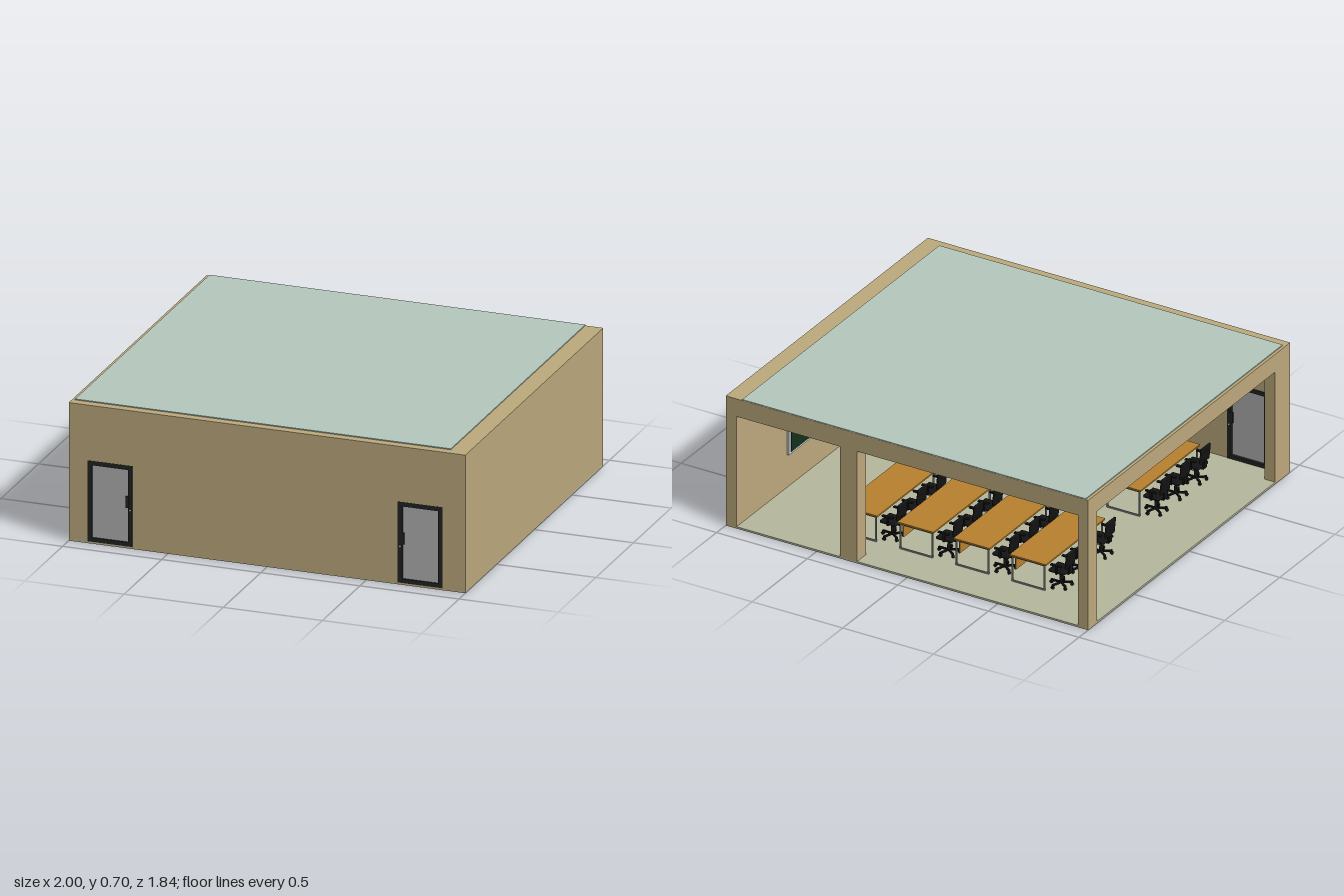
import * as THREE from 'three';
import { RoundedBoxGeometry } from 'three/addons/geometries/RoundedBoxGeometry.js';

const mat = (color) => new THREE.MeshStandardMaterial({ color });
const M = {
  wall: mat(0xbeaa7d), roof: mat(0xb6c9be), floor: mat(0xb6b99e), wood: mat(0xb8812f),
  steel: mat(0x8c9090), black: mat(0x141414), frame: mat(0x222424), panel: mat(0xb2b2b2),
  board: mat(0x12301c), white: mat(0xcfd4d2),
};

function add(parent, name, geometry, material) {
  const mesh = new THREE.Mesh(geometry, material);
  mesh.name = name;
  parent.add(mesh);
  return mesh;
}

// Box given by its limits along each axis
function box(parent, name, material, x0, x1, y0, y1, z0, z1) {
  const mesh = add(parent, name, new THREE.BoxGeometry(x1 - x0, y1 - y0, z1 - z0), material);
  mesh.position.set((x0 + x1) / 2, (y0 + y1) / 2, (z0 + z1) / 2);
  return mesh;
}

function rectPath(P, x0, x1, y0, y1) {
  const p = new P();
  p.moveTo(x0, y0); p.lineTo(x1, y0); p.lineTo(x1, y1); p.lineTo(x0, y1); p.closePath();
  return p;
}

// Rectangular plate in the xy plane with rectangular holes
function plate(outer, holes, depth) {
  const s = rectPath(THREE.Shape, ...outer);
  s.holes = holes.map((h) => rectPath(THREE.Path, ...h));
  return new THREE.ExtrudeGeometry(s, { depth, bevelEnabled: false });
}

const X = 1, Z = 0.917, TOP = 0.695, BEAM = 0.6;

function createShell() {
  const g = new THREE.Group();
  g.name = 'shell';
  box(g, 'floor', M.floor, -X, X, 0, 0.01, -Z, Z);
  // solid walls at the front and on the left
  const doors = [[-0.9, -0.685, 0.012, 0.412], [0.665, 0.88, 0.012, 0.412]];
  add(g, 'frontWall', plate([-X, X, 0, TOP], doors, 0.045), M.wall).position.z = Z - 0.045;
  box(g, 'leftWall', M.wall, 0.94, X, 0, TOP, -Z, Z - 0.045);
  // columns of the open sides
  box(g, 'backCornerColumn', M.wall, -X, -0.945, 0, BEAM, -Z, -Z + 0.08);
  box(g, 'backMiddleColumn', M.wall, 0.275, 0.37, 0, BEAM, -Z, -Z + 0.08);
  box(g, 'sideFrontColumn', M.wall, -X, -0.94, 0, BEAM, 0.78, Z - 0.045);
  // beams
  box(g, 'backBeam', M.wall, -X, 0.94, BEAM, TOP, -Z, -Z + 0.08);
  box(g, 'sideBeam', M.wall, -X, -0.93, BEAM, TOP, -Z + 0.08, Z - 0.045);
  for (const x of [-0.33, 0.32]) box(g, 'ceilingBeam', M.wall, x - 0.045, x + 0.045, BEAM, TOP - 0.005, -Z + 0.08, Z - 0.045);
  box(g, 'wallTopLedge', M.wall, 0.9, 0.94, BEAM, TOP, -Z + 0.08, Z - 0.045);
  return g;
}

function createRoof() {
  const g = new THREE.Group();
  g.name = 'roof';
  box(g, 'roofSlab', M.roof, -0.985, 0.91, 0.685, 0.7, -Z + 0.001, 0.873);
  // ribbed deck under the slab, ribs running along x
  const z0 = -Z + 0.08, z1 = Z - 0.045, n = 13, pitch = (z1 - z0) / n;
  const s = new THREE.Shape();
  s.moveTo(z0, 0.686);
  for (let i = 0; i < n; i++) {
    const z = z0 + i * pitch;
    s.lineTo(z, 0.67);
    s.lineTo(z + pitch * 0.2, 0.67);
    s.lineTo(z + pitch * 0.35, 0.64);
    s.lineTo(z + pitch * 0.85, 0.64);
    s.lineTo(z + pitch, 0.67);
  }
  s.lineTo(z1, 0.686);
  const deck = new THREE.ExtrudeGeometry(s, { depth: 1.83, bevelEnabled: false });
  deck.rotateY(-Math.PI / 2);
  add(g, 'ribbedDeck', deck, M.roof).position.x = 0.9;
  return g;
}

// Louvred ceiling lamp, long along z
function createLamp() {
  const g = new THREE.Group();
  g.name = 'ceilingLamp';
  const L = 0.16, W = 0.06;
  box(g, 'lampBody', M.black, -W, W, 0.626, 0.641, -L, L);
  for (const s of [-1, 1]) {
    box(g, 'lampRail', M.white, s * W - 0.004, s * W + 0.004, 0.615, 0.641, -L, L);
    box(g, 'lampEnd', M.white, -W, W, 0.615, 0.641, s * L - 0.004, s * L + 0.004);
  }
  for (let i = 1; i < 12; i++) {
    const z = -L + (i * 2 * L) / 12;
    box(g, 'lampLouvre', M.frame, -W, W, 0.616, 0.628, z - 0.003, z + 0.003);
  }
  return g;
}

// Door centred on x = 0; side is the x direction of the handle
function createDoor(side) {
  const g = new THREE.Group();
  g.name = 'door';
  const w = 0.113;
  add(g, 'doorFrame', plate([-w, w, 0.01, 0.417], [[-w + 0.022, w - 0.022, 0.03, 0.395]], 0.049), M.frame).position.z = Z - 0.048;
  box(g, 'doorPanel', M.panel, -w + 0.02, w - 0.02, 0.028, 0.397, Z - 0.035, Z - 0.008);
  for (const z of [Z - 0.047, Z + 0.001]) {
    const x = side * 0.088;
    box(g, 'handlePlate', M.frame, x - 0.008, x + 0.008, 0.205, 0.262, z - 0.006, z + 0.004);
    add(g, 'lock', new THREE.SphereGeometry(0.005, 10, 8), M.white).position.set(side * 0.102, 0.192, z);
  }
  return g;
}

// Desk long along z, user on the -x side
function createDesk() {
  const g = new THREE.Group();
  g.name = 'desk';
  const w = 0.1, l = 0.27, t = 0.007;
  box(g, 'deskTop', M.wood, -w, w, 0.146, 0.154, -l, l);
  box(g, 'modestyPanel', M.wood, w - 0.03, w - 0.024, 0.075, 0.146, -l + 0.01, l - 0.01);
  const leg = plate([-w + 0.008, w - 0.008, 0.01, 0.146], [[-w + 0.008 + t, w - 0.008 - t, 0.01 + t, 0.146 - t]], t);
  for (const z of [-l + 0.006, l - 0.006 - t]) add(g, 'deskLegFrame', leg, M.steel).position.z = z;
  return g;
}

// Swivel chair facing +x
function createChair() {
  const g = new THREE.Group();
  g.name = 'chair';
  add(g, 'seat', new RoundedBoxGeometry(0.09, 0.016, 0.092, 2, 0.007), M.black).position.y = 0.1;
  const back = add(g, 'backrest', new RoundedBoxGeometry(0.012, 0.085, 0.082, 2, 0.005), M.black);
  back.position.set(-0.052, 0.168, 0);
  back.rotation.z = 0.1;
  box(g, 'backSupport', M.black, -0.056, -0.046, 0.092, 0.14, -0.012, 0.012);
  box(g, 'seatBracket', M.black, -0.05, 0.02, 0.086, 0.094, -0.012, 0.012);
  add(g, 'post', new THREE.CylinderGeometry(0.006, 0.008, 0.07, 10), M.black).position.y = 0.06;
  for (let i = 0; i < 5; i++) {
    const arm = new THREE.Group();
    arm.name = 'baseArm';
    arm.rotation.y = (i * Math.PI * 2) / 5;
    box(arm, 'spoke', M.black, 0, 0.055, 0.025, 0.033, -0.005, 0.005);
    const wheel = add(arm, 'castor', new THREE.CylinderGeometry(0.008, 0.008, 0.011, 10), M.black);
    wheel.rotation.x = Math.PI / 2;
    wheel.position.set(0.052, 0.018, 0);
    g.add(arm);
  }
  for (const s of [-1, 1]) {
    const z = s * 0.052;
    box(g, 'armrest', M.black, -0.035, 0.025, 0.138, 0.145, z - 0.007, z + 0.007);
    box(g, 'armPost', M.black, -0.01, 0.0, 0.095, 0.138, z - 0.004, z + 0.004);
  }
  return g;
}

export function createModel() {
  const model = new THREE.Group();
  model.name = 'classroom';
  model.add(createShell(), createRoof());

  for (const [x, side] of [[-0.7925, 1], [0.7725, -1]]) {
    const door = createDoor(side);
    door.position.x = x;
    model.add(door);
  }

  // board on the inside of the left wall
  box(model, 'boardFrame', M.white, 0.928, 0.941, 0.185, 0.44, -0.46, 0.46);
  box(model, 'board', M.board, 0.925, 0.93, 0.197, 0.428, -0.445, 0.445);

  for (const x of [-0.65, 0, 0.65]) for (const z of [-0.63, -0.15, 0.33]) {
    const lamp = createLamp();
    lamp.position.set(x, 0, z);
    model.add(lamp);
  }

  // two rows of four desks, three chairs each
  const desk = createDesk(), chair = createChair();
  for (const z of [-0.44, 0.42]) for (let i = 0; i < 4; i++) {
    const x = -0.54 + i * 0.31;
    const d = desk.clone();
    d.position.set(x, 0, z);
    model.add(d);
    for (const dz of [-0.18, 0, 0.18]) {
      const c = chair.clone();
      c.position.set(x - 0.13, 0, z + dz);
      model.add(c);
    }
  }
  return model;
}
